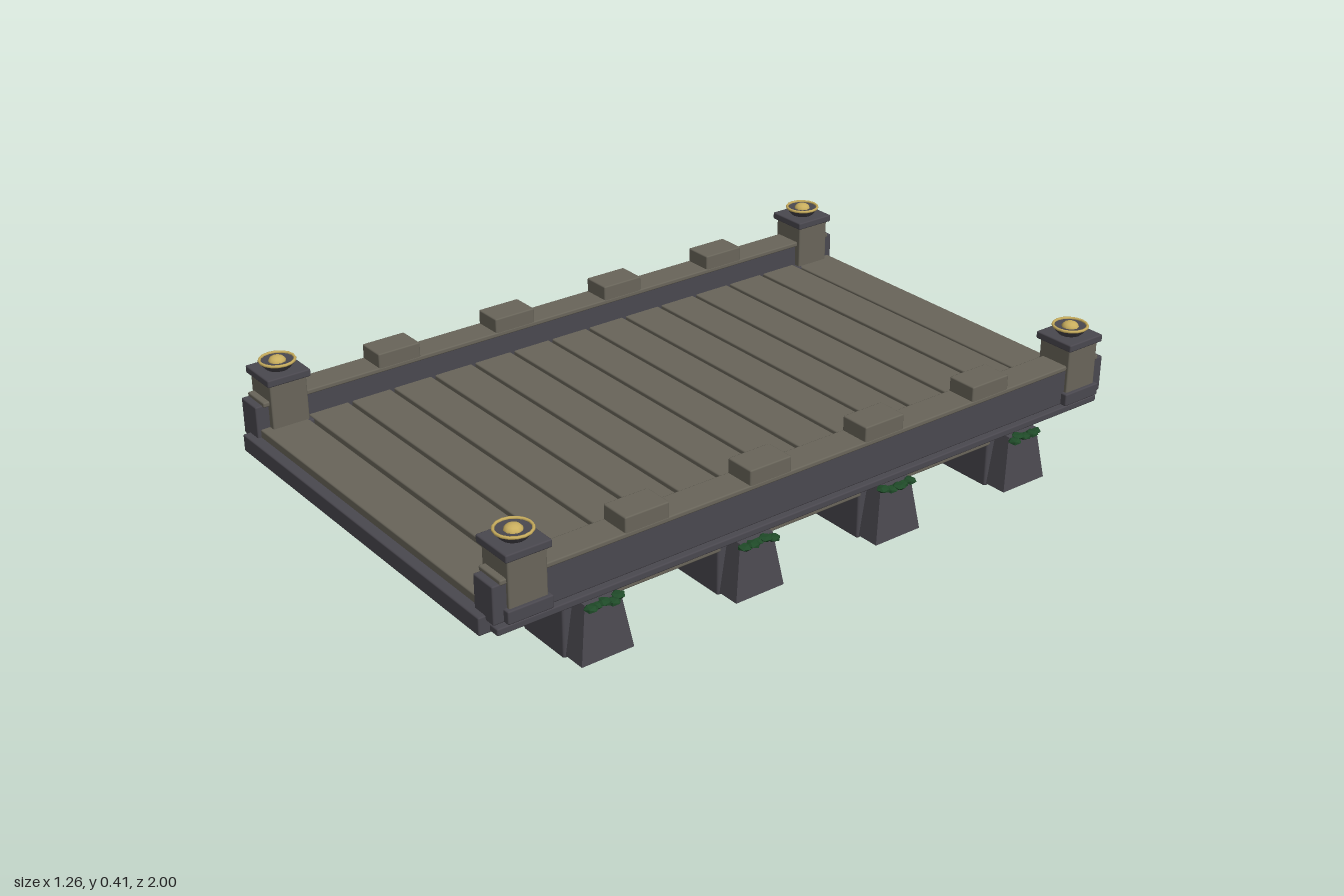
import * as THREE from 'three';
import { RoundedBoxGeometry } from 'three/addons/geometries/RoundedBoxGeometry.js';

const mat = (name, color) => {
  const m = new THREE.MeshStandardMaterial({ color });
  m.name = name;
  return m;
};

export function createModel() {
  const paleStone = mat('pale stone', 0x69655a);
  const darkStone = mat('dark stone', 0x4a484f);
  const gold = mat('gold', 0xc9ae5e);
  const moss = mat('moss green', 0x1f4a28);

  const bridge = new THREE.Group();
  bridge.name = 'bridge';
  bridge.position.x = -0.007;

  const add = (parent, name, geometry, material, x = 0, y = 0, z = 0) => {
    const mesh = new THREE.Mesh(geometry, material);
    mesh.name = name;
    mesh.position.set(x, y, z);
    parent.add(mesh);
    return mesh;
  };
  // Softened block spanning y0..y1
  const block = (parent, name, material, w, y0, y1, d, x = 0, z = 0, r = 0.004) =>
    add(parent, name, new RoundedBoxGeometry(w, y1 - y0, d, 1, r), material, x, (y0 + y1) / 2, z);

  // Deck slab with side ledges
  block(bridge, 'deckSlab', darkStone, 1.126, 0.16, 0.208, 2);
  block(bridge, 'sideLedge', darkStone, 1.186, 0.163, 0.182, 1.94);

  // Paving slabs: thirteen even courses and a wider one at each end
  const pitch = 1.67 / 13;
  for (let i = 0; i < 13; i++) {
    block(bridge, 'pavingSlab', paleStone, 1.04, 0.2, 0.232, pitch - 0.011, 0, (i - 6) * pitch);
  }
  for (const s of [-1, 1]) {
    block(bridge, 'endPavingSlab', paleStone, 1.1, 0.2, 0.23, 0.13, 0, s * 0.905);
  }

  // Cross beams under the deck
  for (const z of [-0.46, 0, 0.46]) {
    block(bridge, 'crossBeam', darkStone, 0.9, 0.113, 0.165, 0.1, 0, z);
  }

  // Square buttress tapering upwards, leaning against the outer pier face
  const buttressGeometry = new THREE.BoxGeometry(0.2, 0.15, 0.15);
  const p = buttressGeometry.attributes.position;
  for (let i = 0; i < p.count; i++) {
    if (p.getY(i) > 0) {
      p.setZ(i, p.getZ(i) * 0.68);
      if (p.getX(i) > 0) p.setX(i, p.getX(i) - 0.018);
    }
  }
  buttressGeometry.computeVertexNormals();

  // Flat bowl profile, rim to centre
  const bowlProfile = [[0, 0], [0.03, 0], [0.036, 0.006], [0.047, 0.02], [0.042, 0.022], [0, 0.018]]
    .map(([x, y]) => new THREE.Vector2(x, y));
  const bowlGeometry = new THREE.LatheGeometry(bowlProfile, 16).toNonIndexed();
  bowlGeometry.computeVertexNormals();

  const addSide = (s) => {
    const side = new THREE.Group();
    side.name = s > 0 ? 'leftSide' : 'rightSide';
    bridge.add(side);

    // Parapet wall, coping and merlons
    block(side, 'parapet', darkStone, 0.078, 0.195, 0.296, 1.96, s * 0.555);
    block(side, 'coping', paleStone, 0.088, 0.292, 0.306, 1.92, s * 0.552);
    for (const z of [-0.553, -0.184, 0.184, 0.553]) {
      block(side, 'merlon', paleStone, 0.086, 0.3, 0.346, 0.128, s * 0.552, z);
    }

    // Corner posts with bowls
    for (const t of [-1, 1]) {
      const post = new THREE.Group();
      post.name = 'cornerPost';
      post.position.set(s * 0.55, 0, t * 0.89);
      side.add(post);
      block(post, 'postBase', darkStone, 0.124, 0.195, 0.23, 0.124);
      block(post, 'postShaft', paleStone, 0.106, 0.2, 0.358, 0.106);
      block(post, 'postCap', darkStone, 0.124, 0.353, 0.374, 0.124);
      add(post, 'bowl', bowlGeometry, darkStone, 0, 0.373, 0);
      const rim = add(post, 'bowlRim', new THREE.TorusGeometry(0.046, 0.004, 6, 16), gold, 0, 0.396, 0);
      rim.rotation.x = Math.PI / 2;
      const dome = add(post, 'bowlDome', new THREE.SphereGeometry(0.024, 10, 4, 0, Math.PI * 2, 0, Math.PI / 2), gold, 0, 0.391, 0);
      dome.scale.y = 0.7;
    }

    // Piers, each with a buttress and a tuft of moss
    [-0.685, -0.228, 0.228, 0.685].forEach((z, k) => {
      block(side, 'pier', darkStone, 0.17, 0, 0.17, 0.162, s * 0.465, z, 0.006);
      const buttress = add(side, 'buttress', buttressGeometry, darkStone, s * 0.515, 0.083, z);
      if (s < 0) buttress.rotation.y = Math.PI;
      for (let j = 0; j < 5; j++) {
        const clump = add(side, 'moss', new THREE.IcosahedronGeometry(1, 0), moss,
          s * (0.598 + 0.006 * ((j * 2 + k) % 3)), 0.15 + 0.004 * ((j + k) % 2), z + (j - 2) * 0.021);
        clump.scale.set(0.019, 0.009, 0.02);
        clump.rotation.y = j + k;
      }
    });

    // Pale beams joining the piers
    for (const z of [-0.457, 0, 0.457]) {
      block(side, 'pierBeam', paleStone, 0.1, 0.122, 0.165, 0.32, s * 0.5, z);
    }
  };
  addSide(1);
  addSide(-1);

  moss.flatShading = true;
  const root = new THREE.Group();
  root.name = 'stoneBridge';
  root.add(bridge);
  return root;
}
